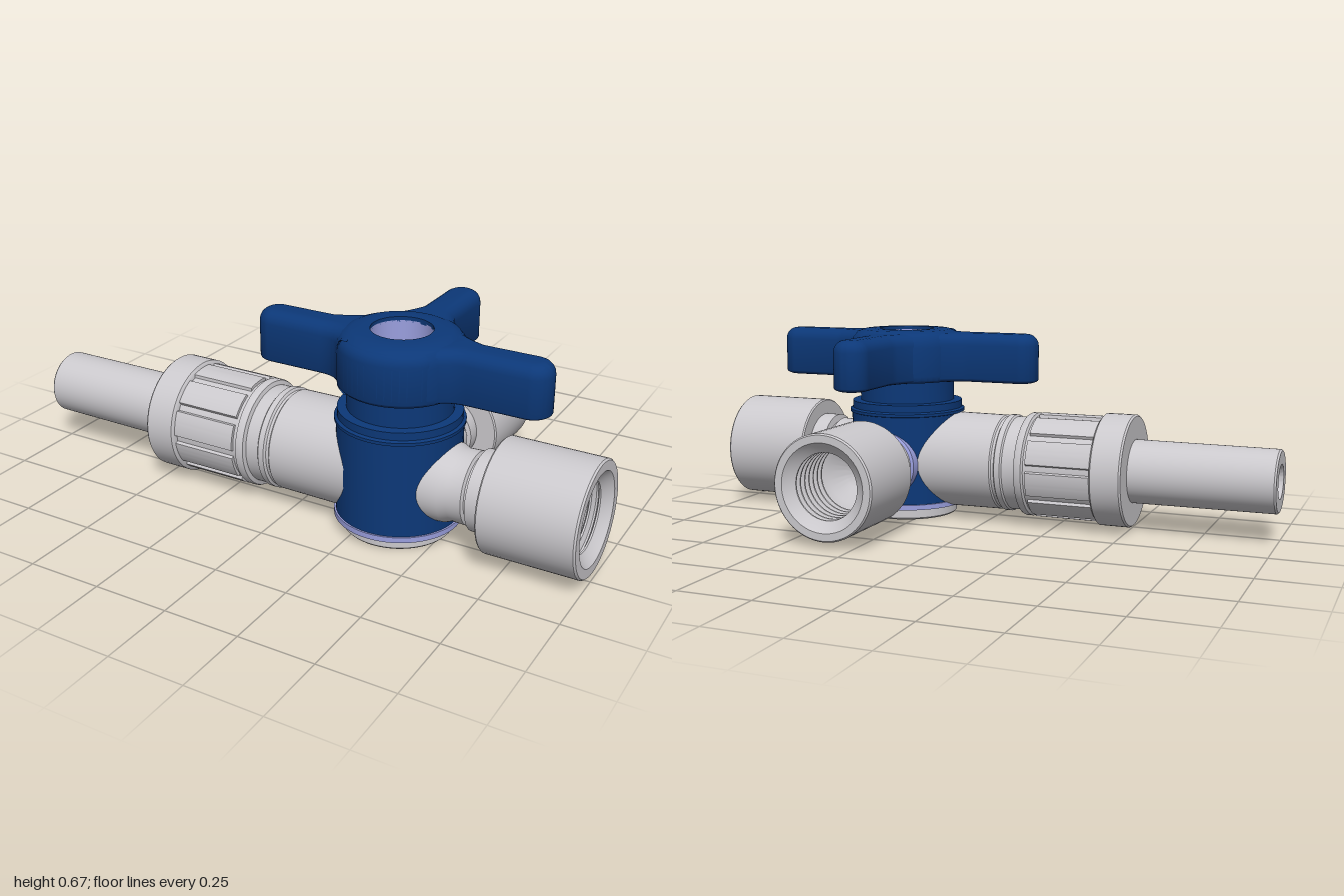
import * as THREE from 'three';
import { toCreasedNormals } from 'three/addons/utils/BufferGeometryUtils.js';

const CX = 0.34, CZ = 0.215, AXIS_Y = 0.203;

export function createModel() {
  const model = new THREE.Group();
  const blue = new THREE.MeshStandardMaterial({ color: 0x0c3878 });
  const grey = new THREE.MeshStandardMaterial({ color: 0xcbc9cd });
  const lavender = new THREE.MeshStandardMaterial({ color: 0x9a9fde });
  blue.name = 'blue plastic';
  grey.name = 'grey plastic';
  lavender.name = 'lavender lining';

  const add = (parent, name, geometry, material) => {
    const mesh = new THREE.Mesh(toCreasedNormals(geometry, 0.6), material);
    mesh.name = name;
    parent.add(mesh);
    return mesh;
  };
  // Profile points are [radius, distance along the axis]
  const lathe = (points) =>
    new THREE.LatheGeometry(points.map(([r, y]) => new THREE.Vector2(r, y)), 56);
  const pivot = (name, x, y, z) => {
    const g = new THREE.Group();
    g.name = name;
    g.position.set(x, y, z);
    model.add(g);
    return g;
  };

  // Upright valve body with its lip, shoulder and stem neck
  const valve = pivot('valve', CX, 0, CZ);
  add(valve, 'body', lathe([
    [0.1, 0.055], [0.2, 0.055], [0.2, 0.368], [0.206, 0.37], [0.206, 0.38], [0.197, 0.385],
    [0.197, 0.41], [0.168, 0.412], [0.168, 0.49], [0.1, 0.49],
  ]), blue);
  add(valve, 'bodyBottomRing', lathe([[0.1, 0.04], [0.206, 0.04], [0.206, 0.058], [0.1, 0.058]]), lavender);
  add(valve, 'baseRing', lathe([
    [0.097, 0.01], [0.108, 0], [0.173, 0], [0.179, 0.006], [0.179, 0.045], [0.097, 0.045],
  ]), grey);
  add(valve, 'boreLining', lathe([[0.097, 0.655], [0.097, 0.01]]), lavender);

  // Handle hub, domed slightly above the arms
  add(valve, 'handleHub', lathe([
    [0.097, 0.487], [0.19, 0.487], [0.197, 0.494], [0.2, 0.51], [0.2, 0.61], [0.195, 0.635],
    [0.18, 0.654], [0.155, 0.664], [0.12, 0.667], [0.097, 0.667], [0.097, 0.65],
  ]), blue);

  // Three-armed handle outline, filleted into the hub
  const w = 0.062, tip = 0.433, off = -0.01;
  const s = new THREE.Shape();
  s.moveTo(0.25, off - w);
  s.lineTo(tip, off - w);
  s.absarc(tip, off, w, -Math.PI / 2, Math.PI / 2, false);
  s.lineTo(0.26, off + w);
  s.quadraticCurveTo(0.12, 0.1, w, 0.25);
  s.lineTo(w, tip - 0.005);
  s.absarc(0, tip - 0.005, w, 0, Math.PI, false);
  s.lineTo(-w, 0.25);
  s.quadraticCurveTo(-0.12, 0.1, -0.26, off + w);
  s.lineTo(-tip, off + w);
  s.absarc(-tip, off, w, Math.PI / 2, Math.PI * 1.5, false);
  s.lineTo(-0.25, off - w);
  s.quadraticCurveTo(-0.18, off - w, -0.151, -0.131);
  s.absarc(0, 0, 0.2, Math.PI + 0.714, Math.PI * 2 - 0.714, false);
  s.quadraticCurveTo(0.18, off - w, 0.25, off - w);
  const hole = new THREE.Path();
  hole.absarc(0, 0, 0.11, 0, Math.PI * 2, true);
  s.holes.push(hole);
  const bevel = 0.04, height = 0.172;
  const arms = new THREE.ExtrudeGeometry(s, {
    depth: height - 2 * bevel, bevelEnabled: true, bevelThickness: bevel, bevelSize: bevel,
    bevelOffset: -bevel, bevelSegments: 5, curveSegments: 14,
  });
  // The underside keeps a much tighter edge than the top
  const p = arms.attributes.position;
  for (let i = 0; i < p.count; i++) if (p.getZ(i) < 0) p.setZ(i, -bevel + (p.getZ(i) + bevel) * 0.35);
  for (let i = 0; i < p.count; i++) if (p.getZ(i) === 0) p.setZ(i, -bevel * 0.65);
  arms.rotateX(-Math.PI / 2);
  add(valve, 'handleArms', arms, blue).position.y = 0.485 + bevel;

  // Threaded socket: neck, collar, cap and a ridged bore with a conical floor
  const socketProfile = (neck, collar, cap, a, b, c, end) => {
    const points = [
      [neck + 0.012, 0.115], [neck + 0.008, 0.2], [neck - 0.002, 0.225], [neck, b - 0.015], [neck - 0.012, b - 0.01],
      [neck - 0.012, b], [collar, b + 0.004], [collar, c], [cap - 0.004, c],
      [cap, c + 0.005], [cap, end - 0.006], [cap - 0.005, end], [0.148, end], [0.132, end - 0.016],
    ];
    for (let i = 0; i < 7; i++) {
      const y = end - 0.03 - i * 0.028;
      points.push([0.112, y], [0.112, y - 0.006], [0.132, y - 0.014], [0.132, y - 0.02]);
    }
    points.push([0.1, end - 0.23], [0.055, end - 0.27], [0, end - 0.29]);
    return points;
  };
  const right = pivot('leftSocket', CX, AXIS_Y, 0.234);
  add(right, 'leftSocketShell',
    lathe(socketProfile(0.118, 0.13, 0.184, 0, 0.29, 0.35, 0.66)).rotateZ(-Math.PI / 2), grey);
  const back = pivot('backSocket', CX + 0.005, 0.198, CZ);
  add(back, 'backSocketShell',
    lathe(socketProfile(0.104, 0.109, 0.178, 0, 0.29, 0.34, 0.64)).rotateX(-Math.PI / 2), grey);
  // Thin cuff where the back socket meets the body
  add(back, 'backSocketCuff',
    lathe([[0.122, 0.13], [0.119, 0.198], [0.108, 0.206]]).rotateX(-Math.PI / 2), lavender);

  // Long connector on the other side: sleeve, union nut and hollow spigot
  const left = pivot('rightConnector', CX, AXIS_Y, 0.219);
  add(left, 'sleeve', lathe([
    [0.169, 0.106], [0.167, 0.38], [0.162, 0.385], [0.162, 0.395], [0.17, 0.4], [0.17, 0.42],
    [0.164, 0.425], [0.164, 0.47], [0.178, 0.474], [0.181, 0.48], [0.181, 0.5], [0.172, 0.505],
    [0.172, 0.74], [0.186, 0.742], [0.193, 0.748], [0.193, 0.845], [0.188, 0.851], [0.1, 0.851],
  ]).rotateZ(Math.PI / 2), grey);
  add(left, 'spigot', lathe([
    [0.109, 0.84], [0.107, 1.334], [0.102, 1.34], [0.058, 1.34], [0.054, 1.334], [0.052, 0.86], [0, 0.84],
  ]).rotateZ(Math.PI / 2), grey);

  // Raised grip panels around the nut
  const grip = new THREE.Shape(), panels = 10, step = (Math.PI * 2) / panels;
  for (let i = 0; i < panels; i++) {
    const a = i * step;
    grip.absarc(0, 0, 0.182, a, a + step * 0.74, false);
    grip.absarc(0, 0, 0.171, a + step * 0.78, a + step * 0.96, false);
  }
  const gripGeometry = new THREE.ExtrudeGeometry(grip, { depth: 0.23, bevelEnabled: false, curveSegments: 6 });
  add(left, 'nutGrip', gripGeometry.rotateY(-Math.PI / 2), grey).position.x = -0.515;

  return model;
}
